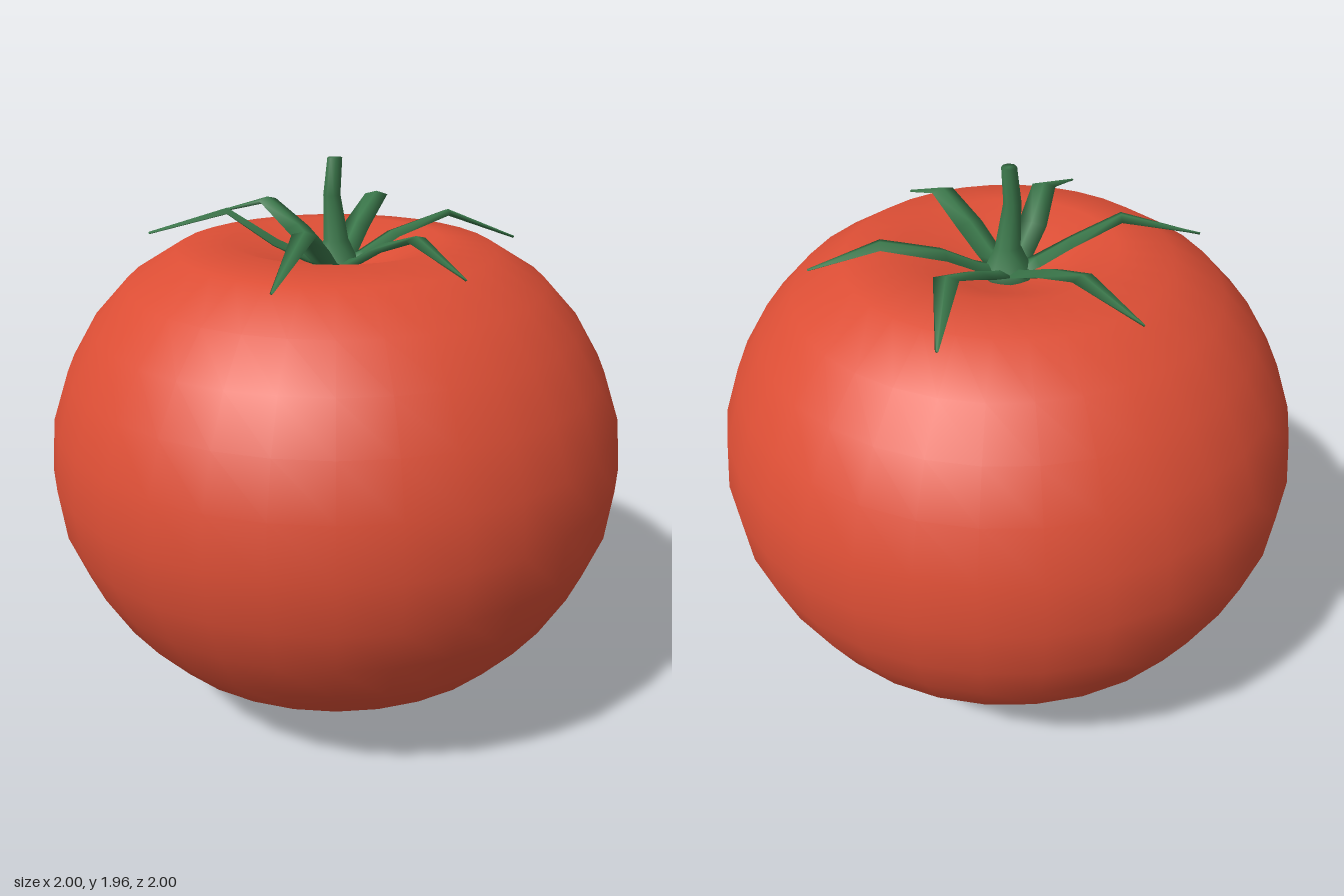
import * as THREE from 'three';

const red = new THREE.MeshStandardMaterial({ color: 0xdc4e35 });
const green = new THREE.MeshStandardMaterial({ color: 0x3b784b });
const V = (x, y, z) => new THREE.Vector3(x, y, z);

// Closed loft: stations are [x, y, z, halfWidth, halfThickness] along a path.
function loft(stations, sides) {
  const pts = stations.map(([x, y, z]) => V(x, y, z));
  const pos = [], index = [];
  const last = pts.length - 1;
  stations.forEach(([, , , w, h], i) => {
    const t = pts[Math.min(i + 1, last)].clone().sub(pts[Math.max(i - 1, 0)]).normalize();
    const a = Math.abs(t.y) > 0.8 ? V(1, 0, 0) : V(0, 1, 0).cross(t).normalize();
    const b = t.clone().cross(a).normalize();
    for (let j = 0; j < sides; j++) {
      const ang = (j / sides) * Math.PI * 2;
      const p = pts[i].clone().addScaledVector(a, Math.cos(ang) * w).addScaledVector(b, Math.sin(ang) * h);
      pos.push(p.x, p.y, p.z);
    }
  });
  const start = pos.length / 3;
  pos.push(...pts[0].toArray(), ...pts[last].toArray());
  for (let j = 0; j < sides; j++) {
    const k = (j + 1) % sides;
    for (let i = 0; i < last; i++) {
      const r = i * sides, s = r + sides;
      index.push(r + j, r + k, s + j, r + k, s + k, s + j);
    }
    index.push(start, k, j, start + 1, last * sides + j, last * sides + k);
  }
  const g = new THREE.BufferGeometry();
  g.setAttribute('position', new THREE.Float32BufferAttribute(pos, 3));
  g.setIndex(index);
  g.computeVertexNormals();
  return g;
}

export function createModel() {
  const model = new THREE.Group();
  const add = (name, geometry, material, parent = model) => {
    const mesh = new THREE.Mesh(geometry, material);
    mesh.name = name;
    parent.add(mesh);
    return mesh;
  };

  // Fruit body, pointed below and dimpled on top
  const profile = [
    [0, 0], [0.2, 0.04], [0.38, 0.09], [0.56, 0.18], [0.71, 0.29], [0.83, 0.43],
    [0.92, 0.59], [0.98, 0.75], [1, 0.93], [0.98, 1.11], [0.92, 1.28], [0.83, 1.43],
    [0.71, 1.56], [0.54, 1.665], [0.36, 1.69], [0.19, 1.62], [0, 1.57],
  ].map(([r, y]) => new THREE.Vector2(r, y));
  add('fruit', new THREE.LatheGeometry(profile, 32), red);

  // Stem, flared at the base and slightly bent
  add('stem', loft([
    [0, 1.57, 0, 0.1, 0.1], [0, 1.62, 0, 0.075, 0.075], [0, 1.69, 0, 0.042, 0.042],
    [-0.015, 1.84, 0.005, 0.029, 0.029], [-0.004, 1.96, 0, 0.025, 0.025],
  ], 8), green);

  // Sepals: inner point, peak and tip of each
  const calyx = new THREE.Group();
  calyx.name = 'calyx';
  model.add(calyx);
  const sepals = [
    [[0.21, 1.69, -0.04], [0.41, 1.75, -0.07], [0.645, 1.66, -0.04]],
    [[0.11, 1.69, 0.17], [0.19, 1.75, 0.32], [0.295, 1.665, 0.52]],
    [[-0.1, 1.69, 0.15], [-0.155, 1.77, 0.28], [-0.3, 1.665, 0.555]],
    [[-0.21, 1.69, 0.005], [-0.36, 1.79, -0.04], [-0.62, 1.725, -0.05]],
    [[-0.1, 1.69, -0.2], [-0.18, 1.76, -0.37], [-0.335, 1.69, -0.545]],
    [[0.11, 1.69, -0.19], [0.22, 1.77, -0.35], [0.265, 1.665, -0.58]],
  ];
  sepals.forEach(([inner, peak, tip], i) => {
    const d = V(inner[0], 0, inner[2]).normalize();
    add('sepal' + (i + 1), loft([
      [d.x * 0.03, 1.605, d.z * 0.03, 0.05, 0.015],
      [d.x * 0.1, 1.63, d.z * 0.1, 0.047, 0.014],
      [...inner, 0.05, 0.014],
      [...peak, 0.041, 0.011],
      [...tip, 0.005, 0.004],
    ], 4), green, calyx);
  });

  return model;
}
